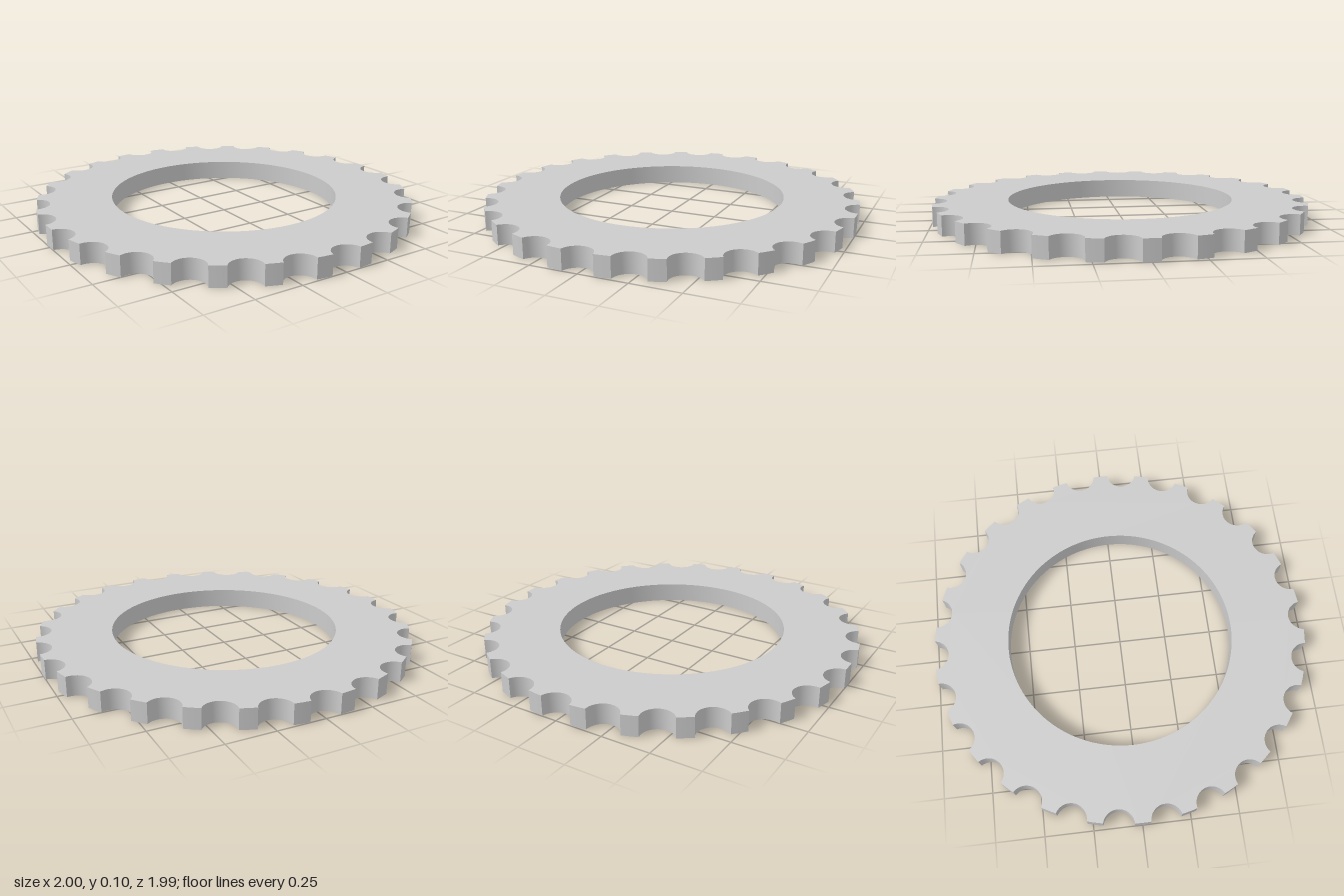
import * as THREE from 'three';
import { toCreasedNormals } from 'three/addons/utils/BufferGeometryUtils.js';

const TEETH = 26, OUTER = 1, INNER = 0.605, HEIGHT = 0.104;
const NOTCH_R = 0.081, NOTCH_C = 1.008; // round notch radius and its centre's distance

const polar = (r, a) => new THREE.Vector2(r * Math.cos(a), r * Math.sin(a));

// Outline: a round notch, then a tooth tip along the rim, repeated
function ringShape() {
  const pitch = (2 * Math.PI) / TEETH;
  const half = Math.acos((OUTER ** 2 + NOTCH_C ** 2 - NOTCH_R ** 2) / (2 * NOTCH_C * OUTER));
  const corner = polar(OUTER, half);
  const sweep = Math.atan2(corner.y, NOTCH_C - corner.x);
  const points = [];
  for (let i = 0; i < TEETH; i++) {
    const a = Math.PI / 2 + i * pitch;
    const centre = polar(NOTCH_C, a);
    for (let k = 0; k <= 20; k++) {
      const t = -sweep + (2 * sweep * k) / 20;
      points.push(polar(NOTCH_R, a + Math.PI - t).add(centre));
    }
    for (let k = 1; k < 4; k++) points.push(polar(OUTER, a + half + ((pitch - 2 * half) * k) / 4));
  }
  const shape = new THREE.Shape(points);

  // Central opening
  const hole = [];
  for (let i = 0; i < 128; i++) hole.push(polar(INNER, (-i / 128) * 2 * Math.PI));
  shape.holes.push(new THREE.Path(hole));
  return shape;
}

export function createModel() {
  const group = new THREE.Group();
  group.name = 'notchedRing';

  const geometry = new THREE.ExtrudeGeometry(ringShape(), { depth: HEIGHT, bevelEnabled: false });
  geometry.rotateX(-Math.PI / 2); // lay flat, standing on y = 0
  const ring = new THREE.Mesh(
    toCreasedNormals(geometry, Math.PI / 6),
    new THREE.MeshStandardMaterial({ color: 0xcccccc })
  );
  ring.name = 'ring';
  group.add(ring);
  return group;
}
